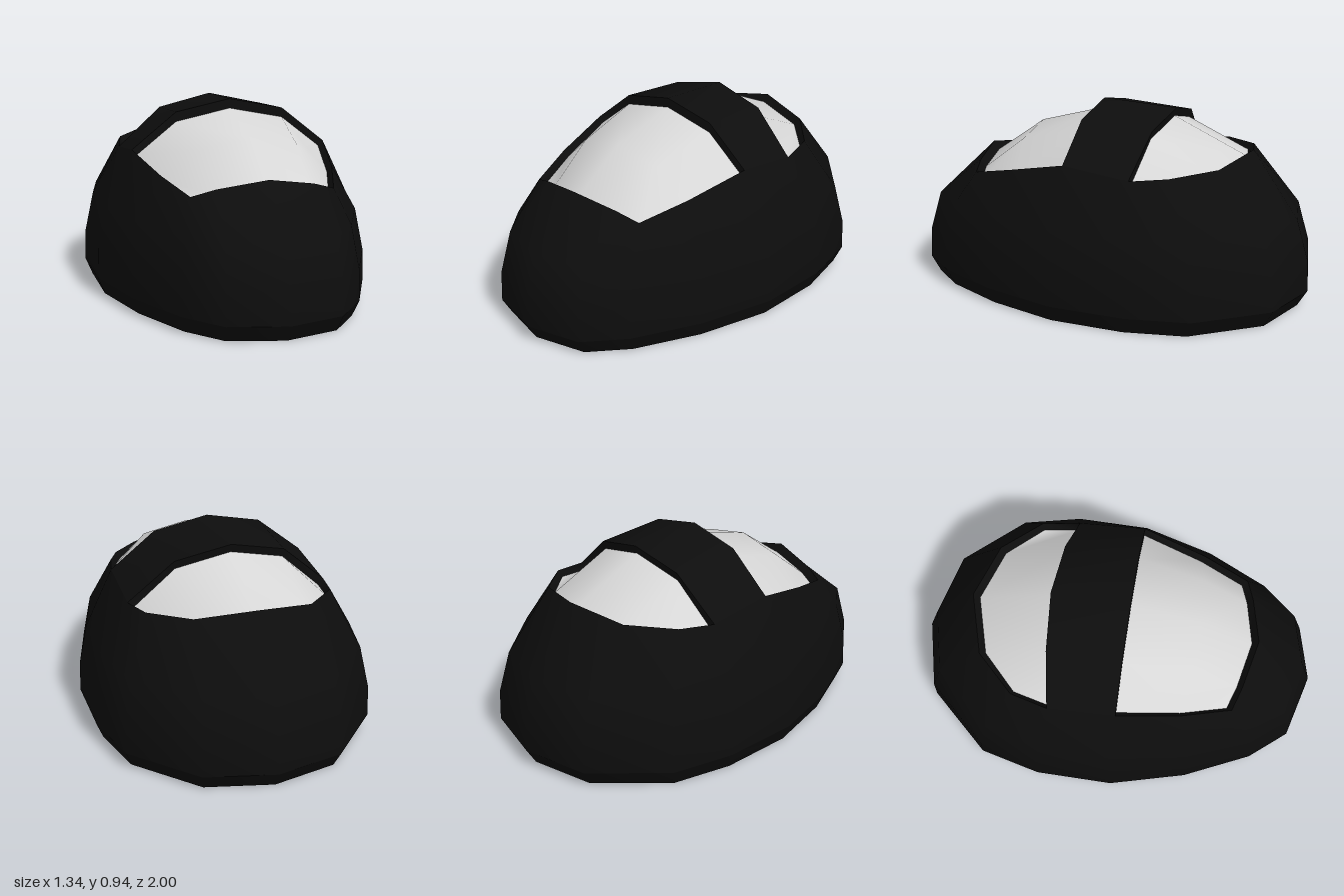
import * as THREE from 'three';

// Half of the ground plan, from the front tip round the left side to the back tip (x, z)
const plan = [[0, 1], [0.27, 0.93], [0.42, 0.75], [0.57, 0.43], [0.67, 0.06], [0.67, -0.32], [0.6, -0.62], [0.33, -0.92], [0, -1]];
// Upper rim of the shell, point for point above the plan (x, y, z)
const rim = [[0, 0.66, 0.69], [0.23, 0.62, 0.64], [0.34, 0.585, 0.605], [0.42, 0.64, 0.37], [0.49, 0.71, 0.06],
  [0.49, 0.67, -0.27], [0.45, 0.69, -0.45], [0.28, 0.71, -0.63], [0, 0.75, -0.71]];
// Front and back edges of the roof band, centre to side
const bandFront = [[0, 0.94, 0.06], [0.27, 0.885, 0.06], rim[4]];
const bandBack = [[0, 0.92, -0.32], [0.27, 0.86, -0.3], rim[5]];
// Sunken window panes: rows from front to back, centre to side
const frontPane = [
  [[0, 0.62, 0.66], [0.22, 0.585, 0.615], [0.325, 0.555, 0.58]],
  [[0, 0.8, 0.4], [0.235, 0.755, 0.39], [0.4, 0.61, 0.36]],
  [[0, 0.893, 0.06], [0.27, 0.838, 0.06], [0.465, 0.685, 0.06]],
];
const backPane = [
  [[0, 0.88, -0.31], [0.265, 0.82, -0.29], [0.465, 0.64, -0.27]],
  [[0, 0.715, -0.68], [0.265, 0.68, -0.605], [0.43, 0.66, -0.44]],
];

const flip = ([x, y, z]) => [-x, y, z];
// Centre-out half row to a full row from right to left
const across = (half) => [...half.slice(1).reverse().map(flip), ...half];
// Half outline to a closed loop
const around = (half) => [...half, ...half.slice(0, -1).reverse().map(flip)];

// Skin stretched over rows of equal length; closed loops share their seam vertices
function skin(rows, closed = false) {
  const n = rows[0].length - (closed ? 1 : 0);
  const index = [];
  for (let r = 0; r < rows.length - 1; r++) {
    for (let c = 0; c < (closed ? n : n - 1); c++) {
      const a = r * n + c, b = r * n + (c + 1) % n;
      index.push(a, b, a + n, b, b + n, a + n);
    }
  }
  const geometry = new THREE.BufferGeometry();
  geometry.setAttribute('position', new THREE.Float32BufferAttribute(rows.flatMap((row) => row.slice(0, n)).flat(), 3));
  geometry.setIndex(index);
  geometry.computeVertexNormals();
  return geometry;
}

export function createModel() {
  const group = new THREE.Group();
  const black = new THREE.MeshStandardMaterial({ color: 0x0d0d0d, side: THREE.DoubleSide });
  black.name = 'black shell';
  const glass = new THREE.MeshStandardMaterial({ color: 0xd6d6d6, side: THREE.DoubleSide });
  glass.name = 'pale glass';
  const add = (name, geometry, material) => {
    const mesh = new THREE.Mesh(geometry, material);
    mesh.name = name;
    group.add(mesh);
  };

  // Shell rings from the floor to the window rim
  const ring = (y, s) => around(plan.map(([x, z]) => [x * s, y, z * s]));
  const floor = ring(0, 0.952);
  add('lowerEdge', skin([floor, ring(0.08, 1)], true), black);
  add('shell', skin([ring(0.08, 1), ring(0.23, 0.994), ring(0.43, 0.935), around(rim)], true), black);
  add('base', skin([floor.map(() => [0, 0, 0]), floor], true), black);

  // Roof band between the two windows
  add('roofBand', skin([across(bandBack), across(bandFront)].reverse()), black);

  // Windows
  add('frontWindow', skin(frontPane.map(across)), glass);
  add('backWindow', skin(backPane.map(across)), glass);

  // Lips from the openings down to the panes
  const [f0, f1, f2] = frontPane;
  const frontOuter = [...bandFront, rim[3], rim[2], rim[1], rim[0]];
  const frontInner = [...f2, f1[2], f0[2], f0[1], f0[0]];
  add('frontWindowLip', skin([around(frontInner), around(frontOuter)], true), black);
  const [b0, b1] = backPane;
  const backOuter = [...bandBack, rim[6], rim[7], rim[8]];
  const backInner = [...b0, b1[2], b1[1], b1[0]];
  add('backWindowLip', skin([around(backOuter), around(backInner)], true), black);

  return group;
}
